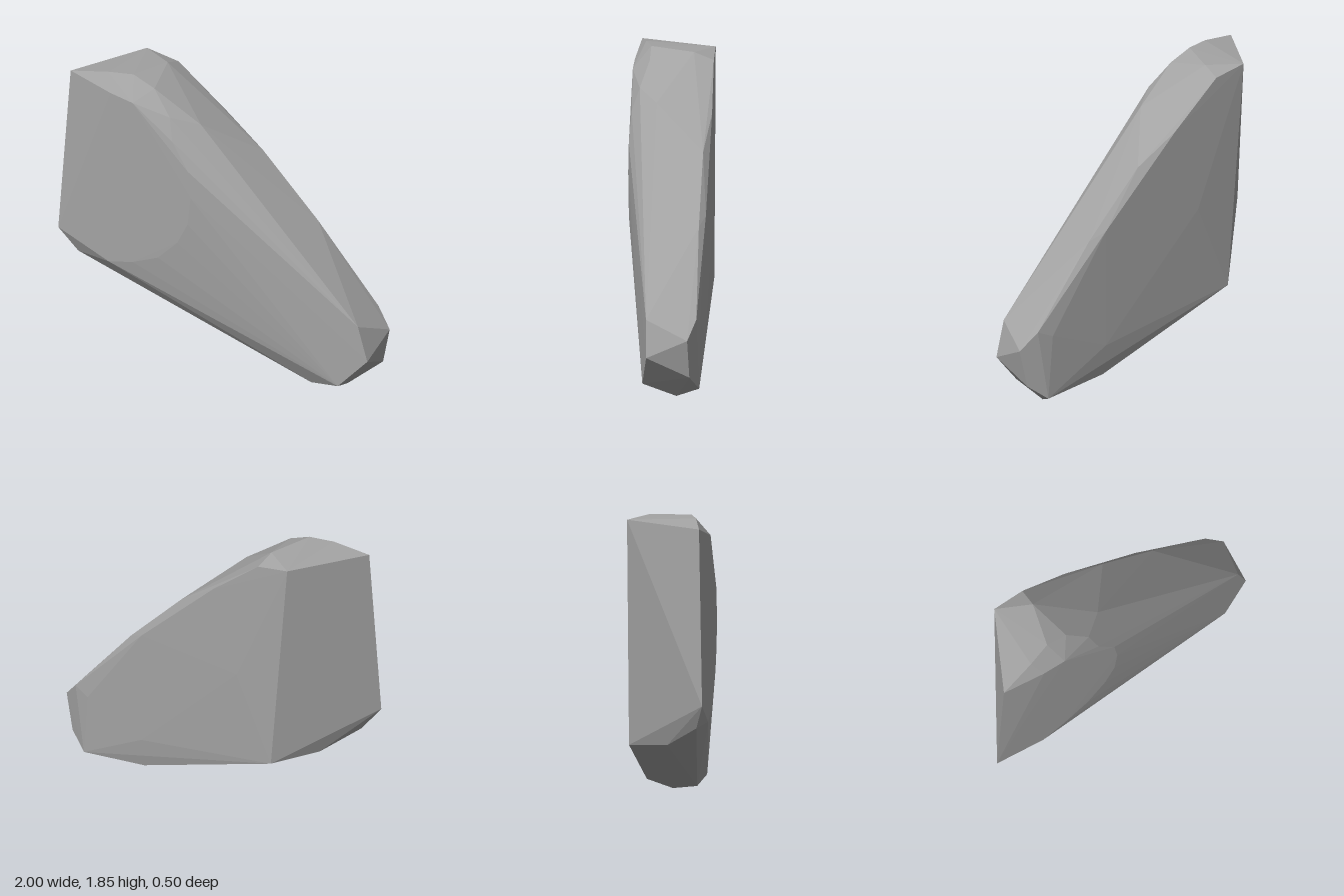
import * as THREE from 'three';
import { ConvexGeometry } from 'three/addons/geometries/ConvexGeometry.js';

const stone = new THREE.MeshStandardMaterial({ color: 0xa3a3a3 });
stone.name = 'grey stone';

// Flat front facet: pointed at the left, rounded towards the nose
const frontFacet = [
  [-1, 0.77, 0.245], [-0.93, 1.82, 0.22], [-0.65, 1.75, 0.245], [-0.5, 1.72, 0.247],
  [-0.24, 1.52, 0.235], [-0.13, 1.35, 0.245], [-0.11, 1.18, 0.247], [-0.13, 1, 0.247],
  [-0.2, 0.86, 0.247], [-0.33, 0.73, 0.247], [-0.5, 0.66, 0.248], [-0.66, 0.625, 0.248],
];

// Belt around the thickness: top, long upper slope, blunt nose, underside
const belt = [
  [-0.7, 1.85, 0.18], [-0.55, 1.85, 0.14], [-0.41, 1.79, 0.14], [-0.46, 1.835, -0.12],
  [-0.28, 1.65, 0.19], [-0.13, 1.59, 0.08], [0.13, 1.35, -0.215], [0.5, 0.97, -0.215],
  [0.92, 0.49, 0.07], [0.98, 0.27, 0.065], [1, 0.38, -0.18], [0.95, 0.15, -0.19],
  [0.8, 0.08, 0.1], [0.6, 0.04, 0.06], [0.76, 0, -0.1], [0.26, 0.14, -0.05],
  [-0.72, 0.49, 0.01], [-0.89, 0.62, 0.2],
];

// Large back facet, meeting the slanted left cut along a straight edge
const backFacet = [
  [-0.66, 1.83, -0.235], [-0.45, 1.79, -0.238], [-0.13, 1.53, -0.25], [0.4, 1.02, -0.25],
  [0.9, 0.49, -0.228], [0.8, 0.45, -0.245], [0.83, 0.06, -0.24], [0.4, 0.11, -0.22],
  [-0.4, 0.41, -0.225], [-0.54, 0.46, -0.235], [-0.3, 1, -0.253], [0.4, 0.3, -0.25],
];

export function createModel() {
  const group = new THREE.Group();
  group.name = 'rock';
  const points = [...frontFacet, ...belt, ...backFacet].map((p) => new THREE.Vector3(...p));
  const rock = new THREE.Mesh(new ConvexGeometry(points), stone);
  rock.name = 'facetedStone';
  group.add(rock);
  return group;
}
